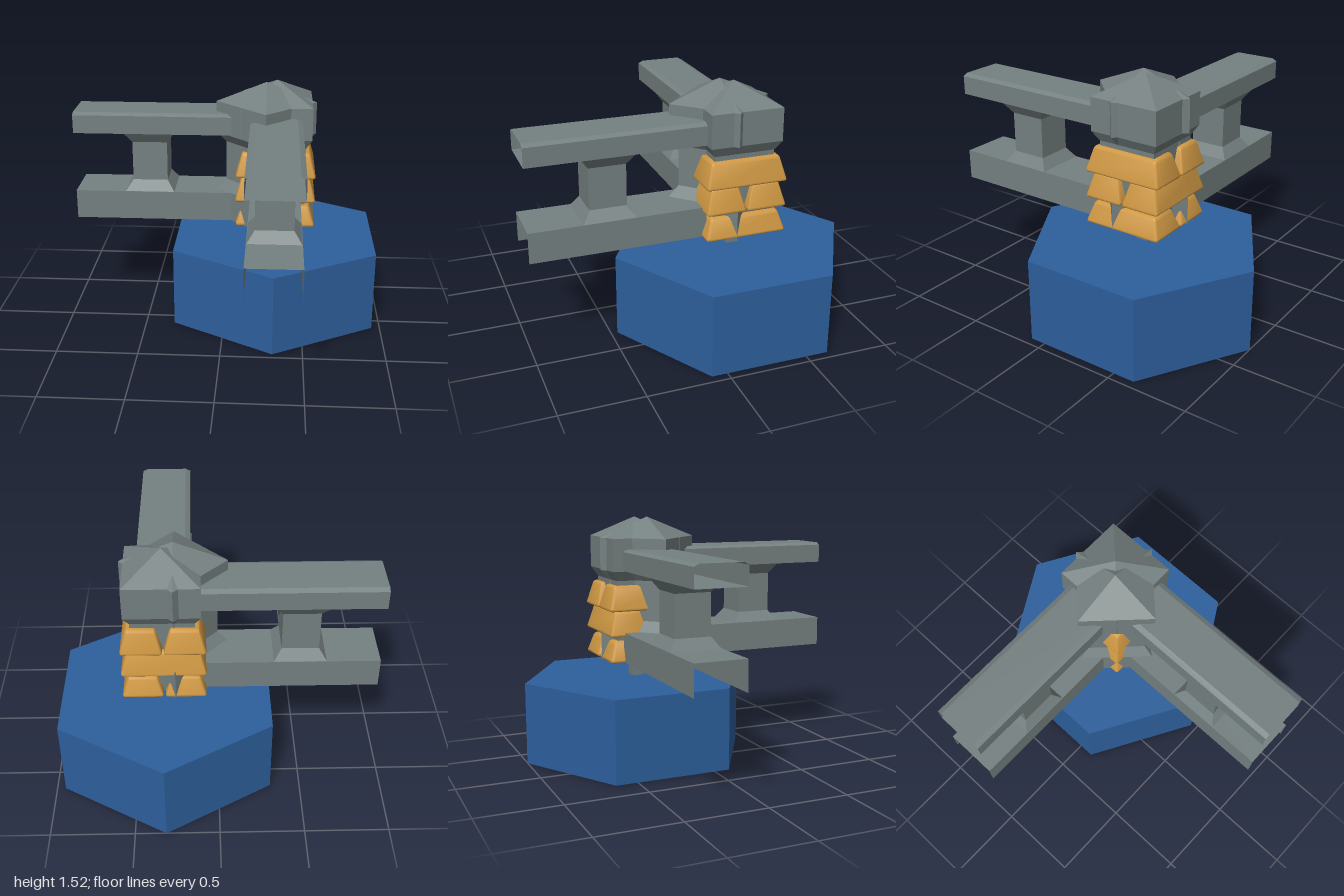
import * as THREE from 'three';
import { toCreasedNormals } from 'three/addons/utils/BufferGeometryUtils.js';
import { RoundedBoxGeometry } from 'three/addons/geometries/RoundedBoxGeometry.js';

const CX = 0.315, CZ = -0.27; // axis of the corner post

function material(name, color, side = THREE.FrontSide) {
  const m = new THREE.MeshStandardMaterial({ color, side });
  m.name = name;
  return m;
}

// Four-sided post from [half width, height] pairs, with flat faces
function squarePost(profile) {
  const pts = profile.map(([h, y]) => new THREE.Vector2(h * Math.SQRT2, y));
  const g = new THREE.LatheGeometry(pts, 4).toNonIndexed();
  g.computeVertexNormals();
  return g.rotateY(Math.PI / 4);
}

// Rounded block whose four sides lean inwards by `inset` at the top
function taperedBlock(w, h, d, inset, radius) {
  const g = new RoundedBoxGeometry(w, h, d, 3, radius);
  const p = g.attributes.position;
  for (let i = 0; i < p.count; i++) {
    const t = p.getY(i) / h + 0.5;
    p.setX(i, p.getX(i) * (1 - (2 * inset * t) / w));
    p.setZ(i, p.getZ(i) * (1 - (2 * inset * t) / d));
  }
  return toCreasedNormals(g, 0.7);
}

// Open-ended sheet following an x/y profile from z0 to z1
function channel(profile, z0, z1) {
  const pos = [];
  for (let i = 0; i < profile.length - 1; i++) {
    const [ax, ay] = profile[i], [bx, by] = profile[i + 1];
    pos.push(ax, ay, z0, ax, ay, z1, bx, by, z1, ax, ay, z0, bx, by, z1, bx, by, z0);
  }
  const g = new THREE.BufferGeometry();
  g.setAttribute('position', new THREE.Float32BufferAttribute(pos, 3));
  g.computeVertexNormals();
  return g;
}

export function createModel() {
  const model = new THREE.Group();
  const blue = material('blue', 0x2d5f9c);
  const stone = material('grey stone', 0x758080, THREE.DoubleSide);
  const gold = material('gold', 0xcf9843);

  function add(parent, name, geometry, mat, x = 0, y = 0, z = 0) {
    const mesh = new THREE.Mesh(geometry, mat);
    mesh.name = name;
    mesh.position.set(x, y, z);
    parent.add(mesh);
    return mesh;
  }

  // Hexagonal base and the peg under the post
  const hex = new THREE.CylinderGeometry(0.731, 0.731, 0.51, 6).toNonIndexed();
  hex.computeVertexNormals();
  add(model, 'base', hex, blue, CX, 0.255, CZ);
  add(model, 'peg', new THREE.BoxGeometry(0.075, 0.14, 0.075), stone, CX, 0.575, CZ);
  const foot = add(model, 'foot', taperedBlock(0.23, 0.045, 0.23, 0.04, 0.006), gold, CX, 0.6225, CZ);
  foot.rotation.x = Math.PI;

  // Two overlapping square posts, one turned by 45 degrees
  const cap = [[0.22, 1.2], [0.22, 1.4], [0, 1.525]];
  add(model, 'straightPost',
    squarePost([[0, 0.645], [0.185, 0.645], [0.185, 1.14], ...cap]), stone, CX, 0, CZ);
  const turned = add(model, 'turnedPost',
    squarePost([[0, 0.64], [0.22, 0.64], [0.22, 0.825], [0.177, 0.89], [0.177, 1.14], ...cap]),
    stone, 0.25, 0, -0.21);
  turned.rotation.y = Math.PI / 4;

  // Three courses of paired blocks, alternating direction
  [[0.64, 0.13], [0.8, 0.155], [0.957, 0.155]].forEach(([y, h], i) => {
    const course = new THREE.Group();
    course.name = 'blockCourse';
    course.position.set(CX, y + h / 2, CZ);
    course.rotation.y = i % 2 ? Math.PI / 2 : 0;
    for (const s of [-1, 1]) {
      add(course, 'block', taperedBlock(0.25, h, 0.505, 0.042, 0.018), gold, s * 0.126, 0, 0);
    }
    model.add(course);
  });

  // Two railing wings: closed handrail, open-bottomed lower rail and a baluster
  const w = 0.158;
  const topRail = [[w, 1.205], [w, 1.32], [w - 0.03, 1.335], [-w + 0.03, 1.335],
    [-w, 1.32], [-w, 1.205], [w, 1.205]];
  const lowRail = [[w, 0.64], [w, 0.825], [-w, 0.825], [-w, 0.64]];
  const baluster = [[0.155, 0.825], [0.11, 0.89], [0.11, 1.14], [0.155, 1.205]];
  for (const [name, angle] of [['frontRailing', 0], ['rightRailing', -Math.PI / 2]]) {
    const wing = new THREE.Group();
    wing.name = name;
    wing.position.set(CX, 0, CZ);
    wing.rotation.y = angle;
    add(wing, 'handrail', channel(topRail, 0.22, 1.27), stone);
    add(wing, 'lowerRail', channel(lowRail, 0.22, 1.27), stone);
    add(wing, 'baluster', squarePost(baluster), stone, 0, 0, 0.797);
    model.add(wing);
  }
  return model;
}
